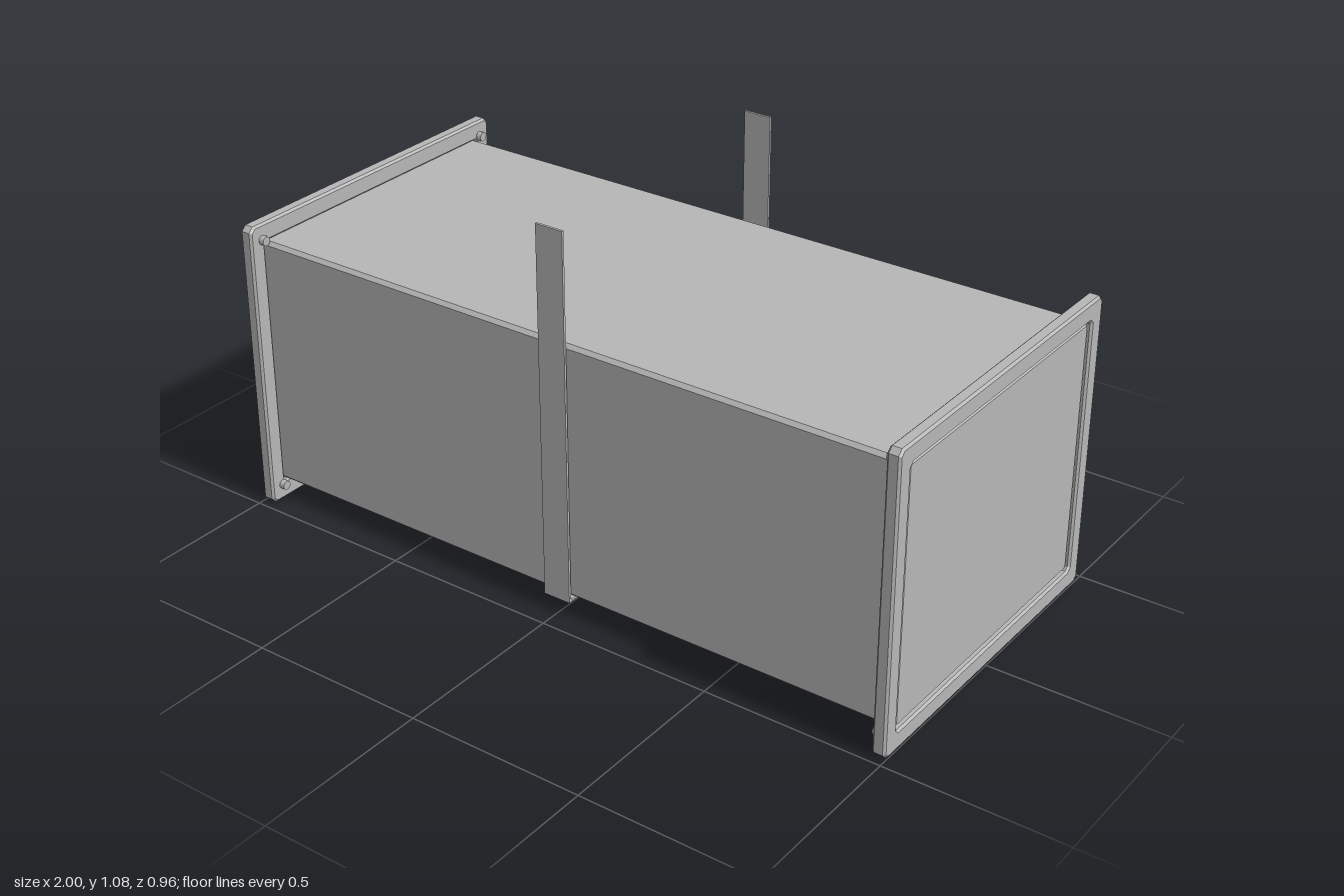
import * as THREE from 'three';

const MID_Y = 0.417;

// Rectangle outline with cut corners
function cutRect(path, w, h, c) {
  const pts = [
    [-w + c, -h], [w - c, -h], [w, -h + c], [w, h - c],
    [w - c, h], [-w + c, h], [-w, h - c], [-w, -h + c],
  ];
  path.setFromPoints(pts.map(([x, y]) => new THREE.Vector2(x, y)));
  path.closePath();
  return path;
}

// Extrude a z-y outline along x, centred, with bevelled ends
function extrudeX(shape, length, bevel) {
  const g = new THREE.ExtrudeGeometry(shape, {
    depth: length - 2 * bevel,
    bevelEnabled: bevel > 0,
    bevelThickness: bevel,
    bevelSize: bevel,
    bevelOffset: -bevel,
    bevelSegments: 1,
  });
  g.translate(0, 0, -(length - 2 * bevel) / 2);
  g.rotateY(Math.PI / 2);
  return g;
}

export function createModel() {
  const model = new THREE.Group();
  model.name = 'ductSection';
  const metal = new THREE.MeshStandardMaterial({ color: 0xb6b6b6 });
  metal.name = 'galvanised grey';

  function add(name, geometry, x, y, z) {
    const mesh = new THREE.Mesh(geometry, metal);
    mesh.name = name;
    mesh.position.set(x, y, z);
    model.add(mesh);
    return mesh;
  }

  // Long box with chamfered edges
  const body = cutRect(new THREE.Shape(), 0.43, 0.361, 0.01);
  add('ductBody', extrudeX(body, 1.985, 0.01), 0, MID_Y, 0);

  // End frames
  const frame = cutRect(new THREE.Shape(), 0.481, 0.416, 0.014);
  frame.holes.push(cutRect(new THREE.Path(), 0.431, 0.362, 0.01));
  const frameGeometry = extrudeX(frame, 0.037, 0.006);

  // Corner bolts on the inner side of each frame
  const boltGeometry = new THREE.CylinderGeometry(0.013, 0.013, 0.02, 12);
  boltGeometry.rotateZ(Math.PI / 2);

  for (const side of [-1, 1]) {
    add(side > 0 ? 'leftFrame' : 'rightFrame', frameGeometry, side * 0.9815, 0.416, 0);
    for (const sy of [-1, 1]) {
      for (const sz of [-1, 1]) {
        add('cornerBolt', boltGeometry, side * 0.957, MID_Y + sy * 0.37, sz * 0.441);
      }
    }
  }

  // U-shaped hanger strap passing under the body
  const strap = new THREE.Shape();
  [[-0.442, 0.045], [0.442, 0.045], [0.442, 1.083], [0.435, 1.083],
    [0.435, 0.052], [-0.435, 0.052], [-0.435, 1.083], [-0.442, 1.083]]
    .forEach(([z, y], i) => (i ? strap.lineTo(z, y) : strap.moveTo(z, y)));
  strap.closePath();
  add('hangerStrap', extrudeX(strap, 0.08, 0), 0, 0, 0);

  return model;
}
